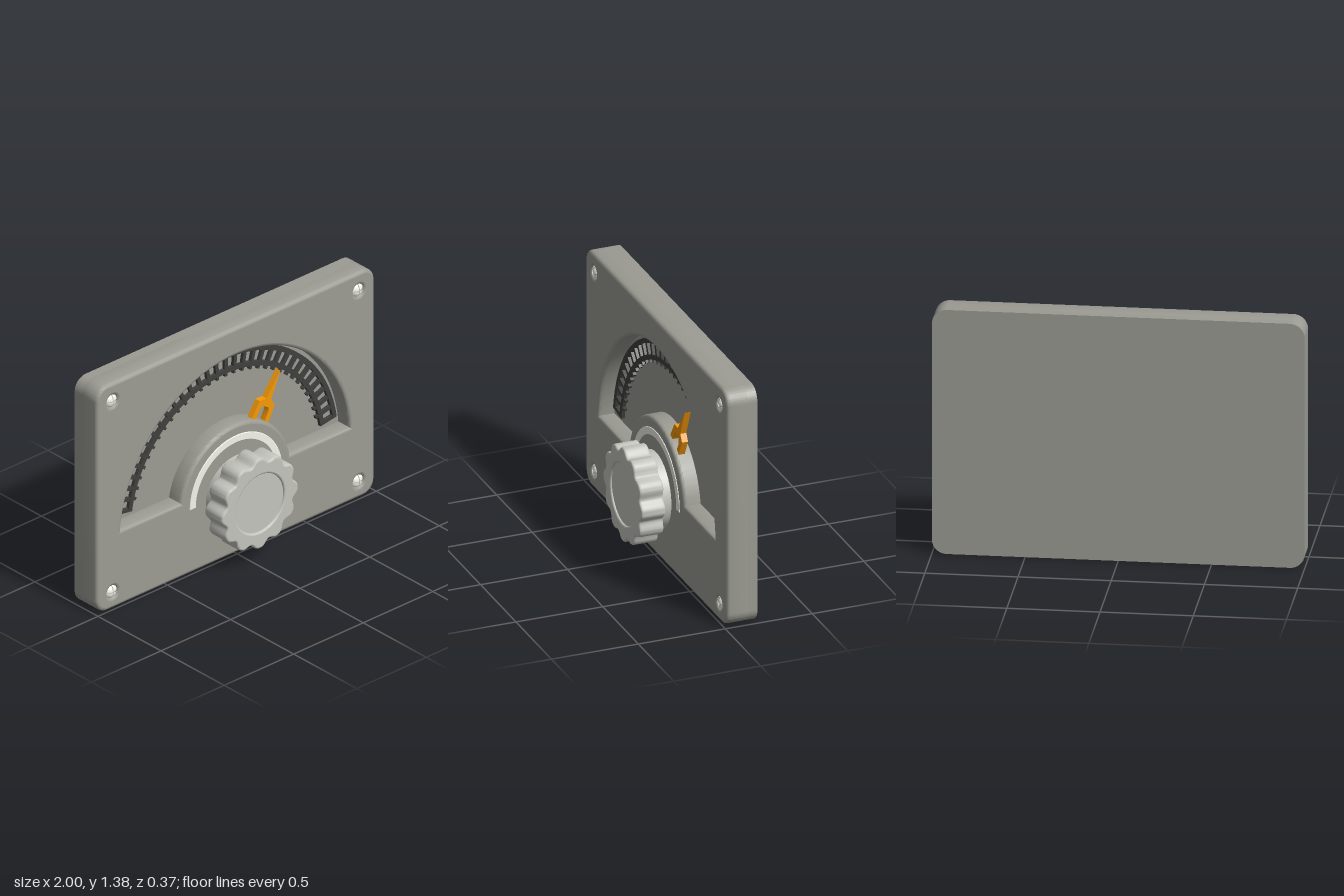
import * as THREE from 'three';
import { toCreasedNormals } from 'three/addons/utils/BufferGeometryUtils.js';

const CY = 0.385; // height of the dial and knob axis
const mat = (color) => new THREE.MeshStandardMaterial({ color });
const bodyMat = mat(0x9c9c94), knobMat = mat(0xc4c5be), paleMat = mat(0xf4f5ec);
const darkMat = mat(0x40403e), orangeMat = mat(0xf79a08);
paleMat.side = THREE.DoubleSide;

// Keep flat caps evenly shaded next to rounded edges
function flattenCaps(g) {
  const p = g.attributes.position, n = g.attributes.normal;
  for (let i = 0; i < p.count; i += 3) {
    const z = p.getZ(i);
    if (Math.abs(p.getZ(i + 1) - z) + Math.abs(p.getZ(i + 2) - z) > 1e-5) continue;
    for (let k = i; k < i + 3; k++) n.setXYZ(k, 0, 0, Math.sign(n.getZ(k)));
  }
  return g;
}

// Extrude a shape between two z levels; the bevel stays inside the outline
function slab(name, shape, z0, z1, bevel, material, curveSegments = 24) {
  const g = new THREE.ExtrudeGeometry(shape, {
    depth: z1 - z0 - 2 * bevel, curveSegments,
    bevelEnabled: bevel > 0, bevelSize: bevel, bevelThickness: bevel,
    bevelOffset: -bevel, bevelSegments: 3,
  });
  g.translate(0, 0, z0 + bevel);
  const mesh = new THREE.Mesh(flattenCaps(toCreasedNormals(g, 0.6)), material);
  mesh.name = name;
  return mesh;
}

function roundedRect(w, h, r) {
  const s = new THREE.Shape(), x = w / 2;
  s.absarc(x - r, r, r, -Math.PI / 2, 0);
  s.absarc(x - r, h - r, r, 0, Math.PI / 2);
  s.absarc(-x + r, h - r, r, Math.PI / 2, Math.PI);
  s.absarc(-x + r, r, r, Math.PI, Math.PI * 1.5);
  return s;
}

// Ring sector mirrored about the vertical, starting at a0 (outer) and a1 (inner)
function arcBand(rIn, rOut, a0, a1 = a0, cy = 0) {
  const s = new THREE.Shape();
  s.absarc(0, cy, rOut, a0, Math.PI - a0, false);
  s.absarc(0, cy, rIn, Math.PI - a1, a1, true);
  s.closePath();
  return s;
}

const circle = (x, y, r) => new THREE.Shape().absarc(x, y, r, 0, Math.PI * 2);
const polygon = (pts) => new THREE.Shape(pts.map(([x, y]) => new THREE.Vector2(x, y)));
const screwSpots = [[-0.885, 0.1], [0.885, 0.1], [-0.885, 1.27], [0.885, 1.27]];

// Housing: back block, and a front layer cut by the dial window and screw holes
function housing() {
  const g = new THREE.Group();
  g.name = 'housing';
  g.add(slab('backBlock', roundedRect(2, 1.38, 0.08), -0.185, -0.105, 0, bodyMat));
  const front = roundedRect(2, 1.38, 0.08);
  front.holes.push(arcBand(0.4, 0.825, Math.asin(0.068 / 0.825), Math.asin(0.068 / 0.4), CY));
  for (const [x, y] of screwSpots) front.holes.push(circle(x, y, 0.034));
  g.add(slab('frontPlate', front, -0.15, -0.01, 0.02, bodyMat, 40));
  return g;
}

// Screw: domed head split into quarters by a cross slot
function screw(x, y) {
  const g = new THREE.Group();
  g.name = 'screw';
  const quarter = new THREE.SphereGeometry(0.038, 8, 6, 0, Math.PI / 2, 0, Math.PI / 2);
  quarter.rotateX(Math.PI / 2).scale(1, 1, 0.75);
  quarter.computeBoundingBox();
  const c = quarter.boundingBox.getCenter(new THREE.Vector3());
  quarter.translate(Math.sign(c.x) * 0.003, Math.sign(c.y) * 0.003, 0);
  for (let i = 0; i < 4; i++) {
    const q = new THREE.Mesh(quarter, paleMat);
    q.name = 'screwHeadQuarter';
    q.rotation.z = i * Math.PI / 2;
    q.position.z = -0.034;
    g.add(q);
  }
  g.add(slab('screwSlotFloor', circle(0, 0, 0.038), -0.06, -0.026, 0.008, knobMat));
  g.position.set(x, y, 0);
  return g;
}

// Ladder scale: two arcs, rungs between them and short teeth inside
function scale() {
  const g = new THREE.Group();
  g.name = 'scale';
  const a0 = 0.147, n = 32;
  g.add(slab('outerArc', arcBand(0.775, 0.802, a0), -0.11, -0.085, 0, darkMat, 64));
  g.add(slab('innerArc', arcBand(0.685, 0.712, a0), -0.11, -0.085, 0, darkMat, 64));
  const bar = (name, r0, r1, w, angle) => {
    const m = new THREE.Mesh(new THREE.BoxGeometry(r1 - r0, w, 0.024), darkMat);
    const r = (r0 + r1) / 2;
    m.name = name;
    m.position.set(r * Math.cos(angle), r * Math.sin(angle), -0.098);
    m.rotation.z = angle;
    g.add(m);
  };
  for (let i = 0; i <= n; i++) {
    const t = a0 + 0.014 + (Math.PI - 2 * a0 - 0.028) * i / n;
    bar('rung', 0.7, 0.785, 0.022, t);
    if (i > 0 && i < n) bar('tooth', 0.667, 0.695, 0.016, t);
  }
  g.position.y = CY;
  return g;
}

// Forked pointer, drawn upright and then turned to its reading
function pointer() {
  const half = [[0.07, 0.36], [0.062, 0.497], [0.02, 0.52]];
  const inner = [[0.022, 0.475], [0.034, 0.455], [0.036, 0.36]];
  const flip = (pts) => pts.map(([x, y]) => [-x, y]).reverse();
  const m = slab('pointer',
    polygon([...half, [0, 0.685], ...flip(half), ...flip(inner), ...inner]),
    -0.07, -0.035, 0, orangeMat);
  m.position.y = CY;
  m.rotation.z = -Math.PI / 6;
  return m;
}

// Knob: scalloped grip with a dished face, on a round neck
function knob() {
  const g = new THREE.Group();
  g.name = 'knob';
  const pts = [];
  for (let i = 0; i < 192; i++) {
    const t = i / 192 * Math.PI * 2;
    const r = 0.275 - 0.03 * ((1 - Math.cos(12 * t)) / 2) ** 1.5;
    pts.push([r * Math.cos(t), r * Math.sin(t)]);
  }
  const grip = polygon(pts);
  grip.holes.push(circle(0, 0, 0.173));
  g.add(slab('grip', grip, 0.045, 0.185, 0.012, knobMat, 48));
  g.add(slab('gripFace', circle(0, 0, 0.19), 0.05, 0.174, 0, knobMat, 48));
  g.add(slab('neck', circle(0, 0, 0.215), -0.03, 0.06, 0, knobMat, 48));
  g.position.y = CY;
  return g;
}

export function createModel() {
  const model = new THREE.Group();
  model.name = 'dialPanel';
  model.add(housing(), scale(), pointer(), knob());
  for (const [x, y] of screwSpots) model.add(screw(x, y));
  // Pale half ring around the knob
  const ring = slab('halfRing', arcBand(0.29, 0.333, 0), -0.03, -0.006, 0.003, paleMat, 48);
  ring.position.y = CY + 0.005;
  model.add(ring);
  return model;
}
